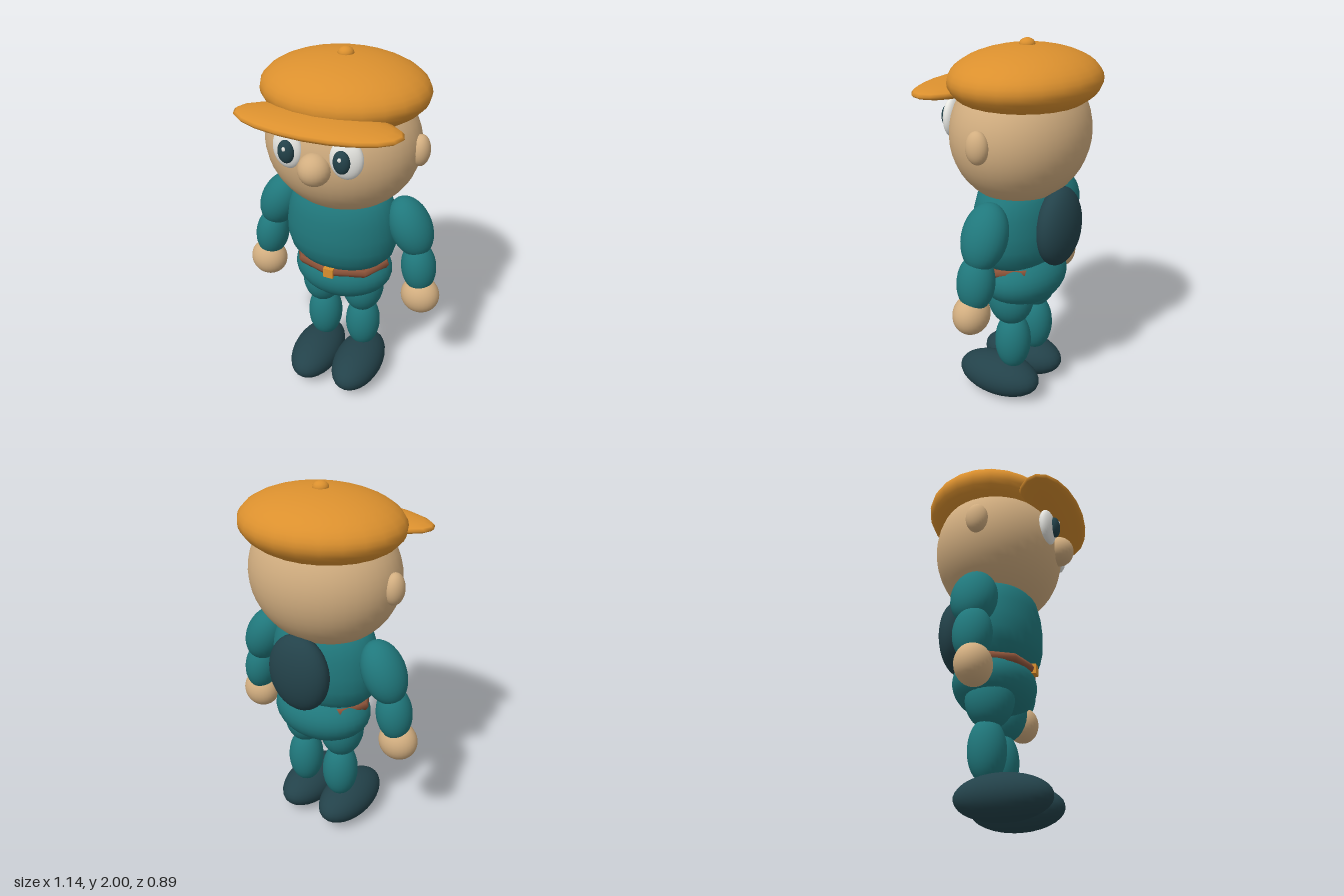
import * as THREE from 'three';

const mat = (name, color) => {
  const m = new THREE.MeshStandardMaterial({ color });
  m.name = name;
  return m;
};

export function createModel() {
  const skin = mat('skin', 0xd2ae80);
  const teal = mat('teal cloth', 0x20787c);
  const orange = mat('orange felt', 0xdb902e);
  const dark = mat('dark leather', 0x23424a);
  const brown = mat('brown belt', 0x8c5339);
  const white = mat('eye white', 0xe9e9e4);

  const model = new THREE.Group();
  model.name = 'cappedFigure';

  const add = (name, geometry, material, pos) => {
    const mesh = new THREE.Mesh(geometry, material);
    mesh.name = name;
    mesh.position.set(...pos);
    model.add(mesh);
    return mesh;
  };
  // Ellipsoid given by centre and three radii
  const blob = (name, material, pos, radii, seg = 32) =>
    add(name, new THREE.SphereGeometry(1, seg, Math.round(seg * 0.6)).scale(...radii), material, pos);

  // Head, nose
  blob('head', skin, [0, 1.53, -0.05], [0.41, 0.37, 0.35], 40);
  blob('nose', skin, [0, 1.52, 0.3], [0.083, 0.083, 0.083], 24);

  // Cap crown, cut off below where it meets the head
  const crown = new THREE.SphereGeometry(1, 24, 16, 0, Math.PI * 2, 0, Math.PI * 0.72);
  add('capCrown', crown.scale(0.435, 0.17, 0.375), orange, [0, 1.8, -0.075]);
  blob('capButton', orange, [0, 1.968, -0.08], [0.041, 0.032, 0.041], 16);
  blob('capVisor', orange, [0, 1.745, 0.27], [0.43, 0.047, 0.175], 20);

  // Torso: rounded barrel, flattened front to back
  const profile = [
    [0, 0.8], [0.2, 0.8], [0.245, 0.84], [0.29, 0.89], [0.31, 0.96], [0.312, 1.04],
    [0.3, 1.13], [0.275, 1.21], [0.23, 1.255], [0, 1.265],
  ].map(([r, y]) => new THREE.Vector2(r, y));
  add('torso', new THREE.LatheGeometry(profile, 32).scale(1, 1, 0.74), teal, [0, 0, -0.045]);
  blob('hips', teal, [0, 0.74, -0.07], [0.28, 0.17, 0.22]);

  // Faceted belt and buckle
  const belt = new THREE.TorusGeometry(1, 0.11, 6, 8).rotateX(Math.PI / 2).scale(0.25, 0.23, 0.185);
  add('belt', belt, brown, [0, 0.817, -0.045]);
  add('buckle', new THREE.BoxGeometry(0.056, 0.054, 0.04), orange, [0, 0.815, 0.141]);

  // Backpack
  blob('backpack', dark, [0, 1.05, -0.28], [0.18, 0.215, 0.1]);

  // Mirrored parts
  for (const [side, s] of [['left', 1], ['right', -1]]) {
    const pair = (part, material, [x, y, z], radii, tilt = 0, yaw = 0, seg = 28) => {
      const mesh = blob(side + part, material, [s * x, y, z], radii, seg);
      mesh.rotation.set(0, s * yaw, s * tilt);
    };
    // Face
    pair('Ear', skin, [0.41, 1.54, -0.055], [0.05, 0.083, 0.06]);
    pair('Eye', white, [0.153, 1.59, 0.27], [0.083, 0.104, 0.04], 0, 0.15);
    pair('Pupil', dark, [0.143, 1.59, 0.308], [0.043, 0.06, 0.03]);
    pair('Glint', white, [0.143, 1.612, 0.332], [0.011, 0.013, 0.007], 0, 0, 12);
    // Arm
    pair('UpperArm', teal, [0.38, 1.08, -0.07], [0.112, 0.175, 0.12], 0.44);
    pair('Forearm', teal, [0.442, 0.85, -0.055], [0.094, 0.15, 0.1], 0.15);
    pair('Hand', skin, [0.465, 0.677, -0.04], [0.107, 0.106, 0.093]);
    // Leg
    pair('Thigh', teal, [0.123, 0.63, -0.06], [0.116, 0.16, 0.13]);
    pair('Shin', teal, [0.12, 0.36, -0.073], [0.1, 0.17, 0.1]);
    pair('Shoe', dark, [0.132, 0.12, 0.013], [0.14, 0.118, 0.25]);
  }
  return model;
}
